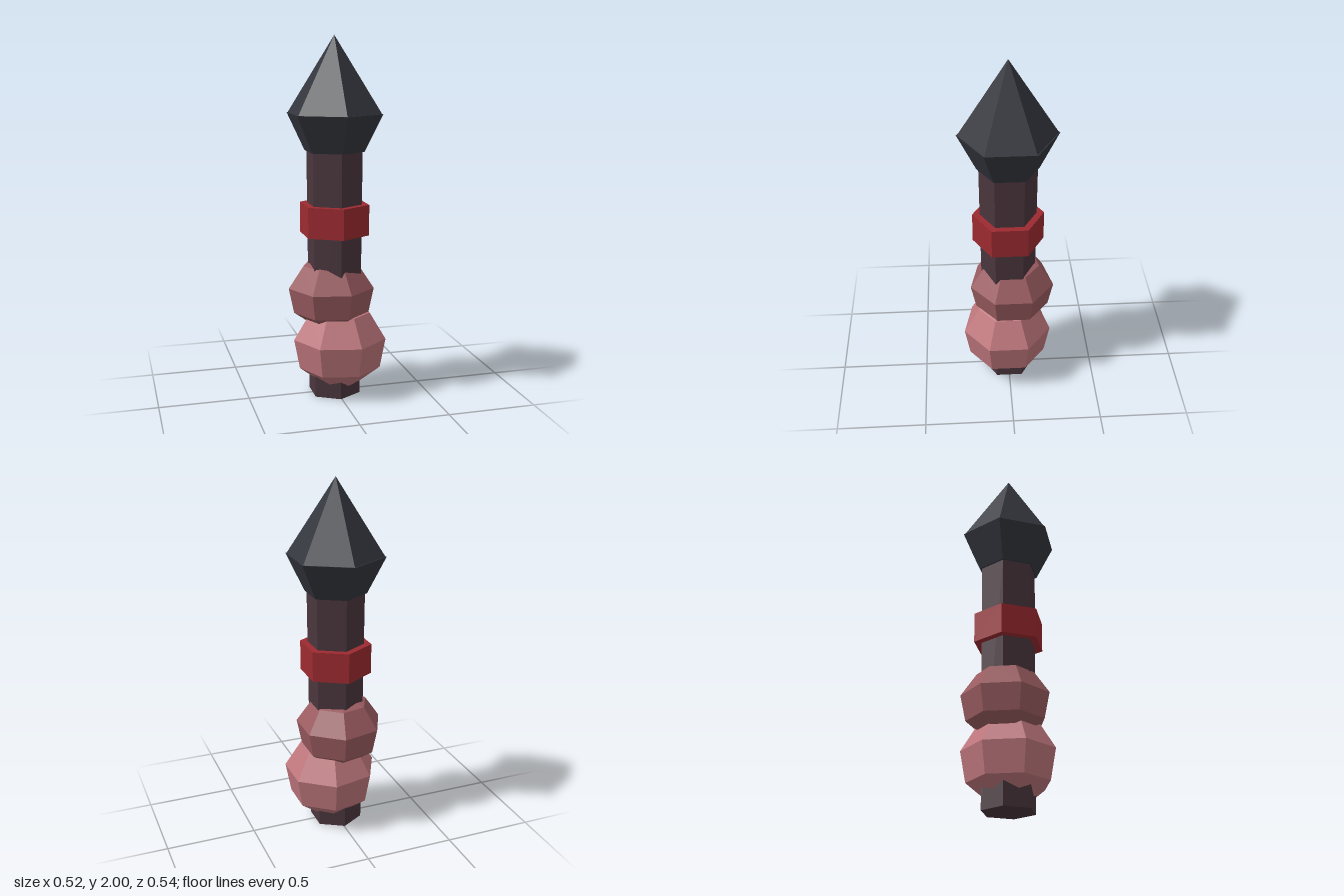
import * as THREE from 'three';

const CENTRE_X = -0.005;

function addMesh(parent, name, geometry, color) {
  const mesh = new THREE.Mesh(geometry, new THREE.MeshStandardMaterial({ color, flatShading: true }));
  mesh.name = name;
  parent.add(mesh);
  return mesh;
}

// Six-sided tapered prism standing between two heights, corners towards +z and -z
function addPrism(parent, name, color, rTop, rBottom, y0, y1) {
  const mesh = addMesh(parent, name, new THREE.CylinderGeometry(rTop, rBottom, y1 - y0, 6), color);
  mesh.position.set(CENTRE_X, (y0 + y1) / 2, 0);
  return mesh;
}

// Coarse seven-sided lump wrapped round the shaft
function addLump(parent, name, color, centre, radii) {
  const cut = THREE.MathUtils.degToRad(160);
  const mesh = addMesh(parent, name, new THREE.SphereGeometry(1, 7, 4, 0, Math.PI * 2, 0, cut), color);
  mesh.scale.set(...radii);
  mesh.position.set(...centre);
  return mesh;
}

export function createModel() {
  const model = new THREE.Group();
  model.name = 'spikedRod';

  // Shaft and collar
  addPrism(model, 'shaft', 0x4a363d, 0.159, 0.148, 0, 1.39);
  addPrism(model, 'collar', 0x9c2a30, 0.198, 0.198, 0.92, 1.09);

  // Pointed head: flared base with a slightly narrower cone on top
  const head = new THREE.Group();
  head.name = 'head';
  model.add(head);
  addPrism(head, 'headBase', 0x34373e, 0.271, 0.17, 1.38, 1.585);
  addPrism(head, 'headPoint', 0x34373e, 0, 0.265, 1.585, 2);

  // Lumps near the foot
  addLump(model, 'lowerLump', 0xbf777d, [0.023, 0.28, 0.011], [0.268, 0.25, 0.26]);
  addLump(model, 'upperLump', 0x9b5c61, [-0.019, 0.578, -0.02], [0.247, 0.21, 0.247]);

  return model;
}
